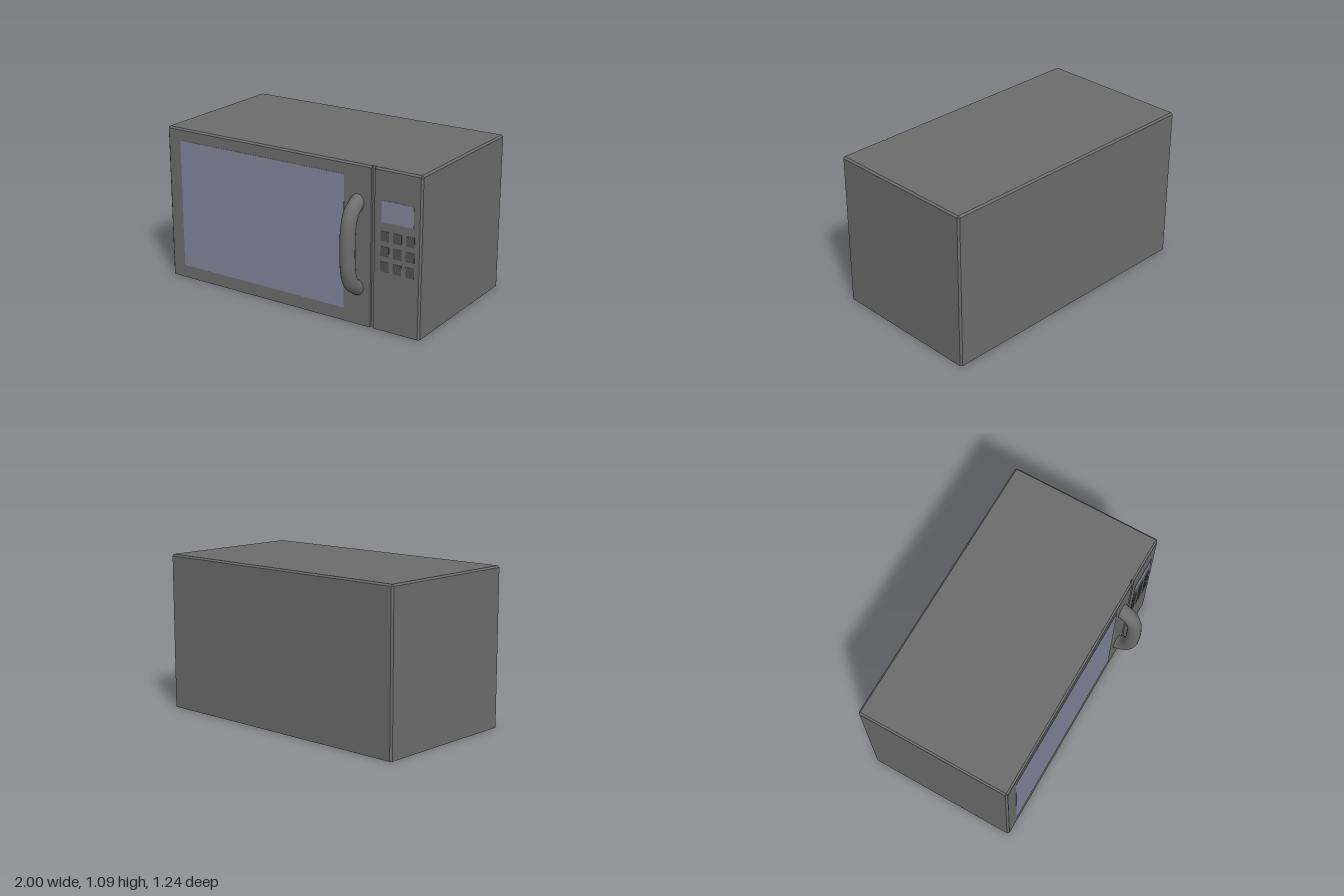
import * as THREE from 'three';

const FRONT = 0.46, BACK = -0.622, HEIGHT = 1.085, CHAMFER = 0.012;

const bodyMat = new THREE.MeshStandardMaterial({ color: 0x6c6c6c });
const glassMat = new THREE.MeshStandardMaterial({ color: 0x82849a });
const buttonMat = new THREE.MeshStandardMaterial({ color: 0x505050 });

function addMesh(group, name, geometry, material) {
  const mesh = new THREE.Mesh(geometry, material);
  mesh.name = name;
  group.add(mesh);
  return mesh;
}

// Plan outline with chamfered corners and the door gap, raised in two layers;
// the top layer is pulled in to bevel the upper edges.
function casingGeometry() {
  const c = CHAMFER;
  const plan = [
    [-1, FRONT - c], [-1 + c, FRONT], [0.637, FRONT], [0.637, FRONT - 0.018],
    [0.662, FRONT - 0.018], [0.662, FRONT], [1 - c, FRONT], [1, FRONT - c],
    [1, BACK + c], [1 - c, BACK], [-1 + c, BACK], [-1, BACK + c],
  ];
  const shape = new THREE.Shape(plan.map(([x, z]) => new THREE.Vector2(x, -z)));
  const geo = new THREE.ExtrudeGeometry(shape, { depth: 1, steps: 2, bevelEnabled: false });
  geo.rotateX(-Math.PI / 2);
  const p = geo.attributes.position;
  for (let i = 0; i < p.count; i++) {
    const layer = Math.round(p.getY(i) * 2);
    p.setY(i, [0, HEIGHT - c, HEIGHT][layer]);
    if (layer === 2) {
      p.setX(i, THREE.MathUtils.clamp(p.getX(i), -1 + c, 1 - c));
      p.setZ(i, THREE.MathUtils.clamp(p.getZ(i), BACK + c, FRONT - c));
    }
  }
  geo.computeVertexNormals();
  return geo;
}

// Thin panel set into the front face
function addPanel(group, name, x0, x1, y0, y1, material) {
  const panel = addMesh(group, name, new THREE.BoxGeometry(x1 - x0, y1 - y0, 0.008), material);
  panel.position.set((x0 + x1) / 2, (y0 + y1) / 2, FRONT - 0.002);
}

export function createModel() {
  const model = new THREE.Group();
  model.name = 'microwaveOven';

  addMesh(model, 'casing', casingGeometry(), bodyMat);
  addPanel(model, 'doorWindow', -0.89, 0.435, 0.09, 1.0, glassMat);
  addPanel(model, 'display', 0.713, 0.945, 0.738, 0.88, glassMat);

  // Keypad, three by three
  const keypad = new THREE.Group();
  keypad.name = 'keypad';
  for (let row = 0; row < 3; row++) {
    for (let col = 0; col < 3; col++) {
      const x = 0.709 + col * 0.092, y = 0.407 + row * 0.102;
      addPanel(keypad, 'button', x, x + 0.061, y, y + 0.068, buttonMat);
    }
  }
  model.add(keypad);

  // Bowed door handle, mirrored about its middle height
  const half = [[0.305, 0.42], [0.285, 0.465], [0.24, 0.525], [0.165, 0.559]];
  const mid = 0.545;
  const path = [
    ...half.map(([dy, z]) => [mid + dy, z]),
    [mid, 0.572],
    ...half.map(([dy, z]) => [mid - dy, z]).reverse(),
  ].map(([y, z]) => new THREE.Vector3(0.535, y, z));
  const curve = new THREE.CatmullRomCurve3(path);
  addMesh(model, 'handle', new THREE.TubeGeometry(curve, 48, 0.05, 20), bodyMat);

  return model;
}
